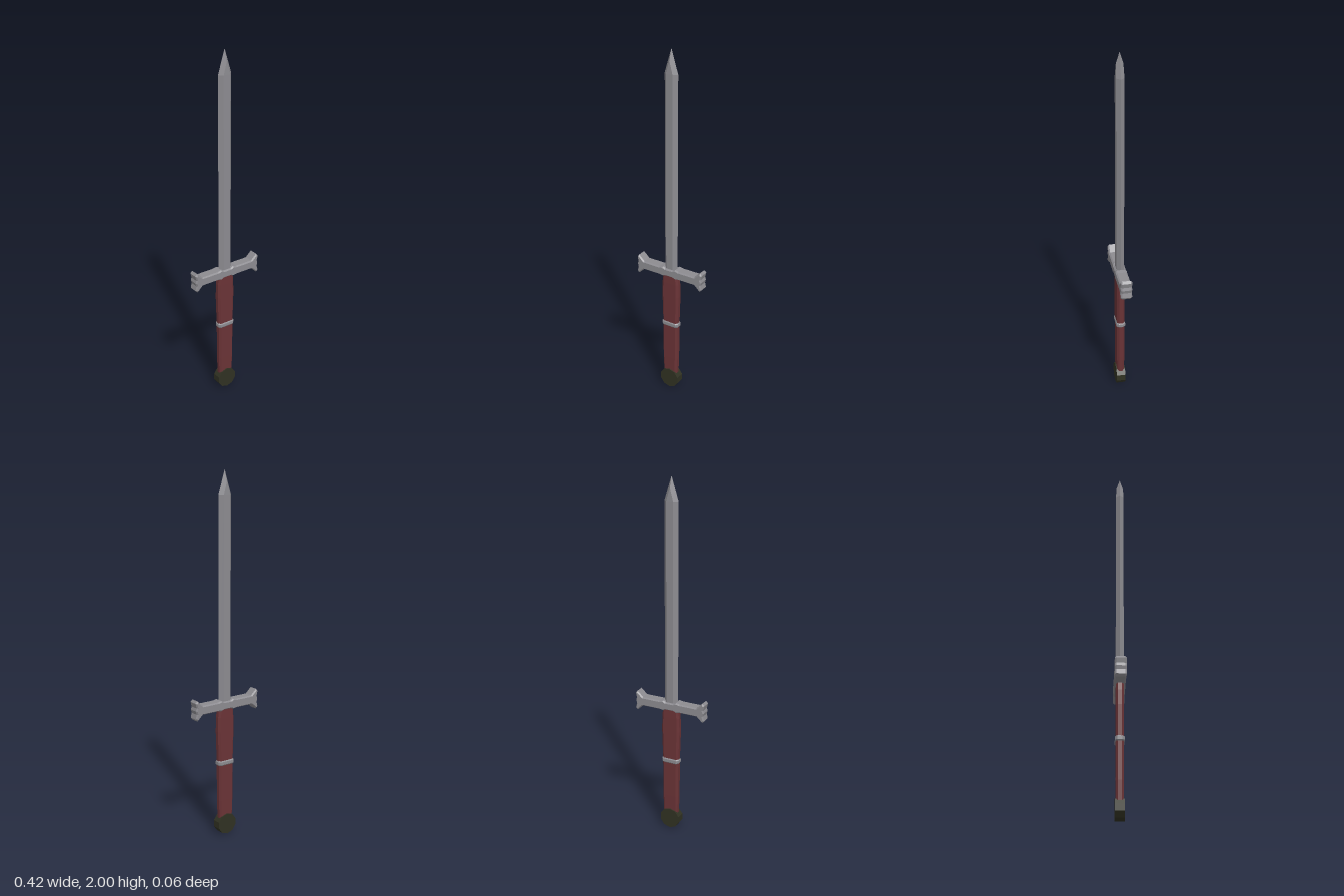
import * as THREE from 'three';

const material = (name, color) => {
  const m = new THREE.MeshStandardMaterial({ color, flatShading: true });
  m.name = name;
  return m;
};

// Loft of eight-sided sections: [y, half width, half width of flat, half depth, half depth of edge]
function loft(sections) {
  const pos = [], idx = [];
  for (const [y, w, f, d, e] of sections) {
    for (const [x, z] of [[w, e], [f, d], [-f, d], [-w, e], [-w, -e], [-f, -d], [f, -d], [w, -e]]) pos.push(x, y, z);
  }
  const last = (sections.length - 1) * 8;
  for (let s = 0; s < last; s += 8) {
    for (let j = 0; j < 8; j++) {
      const a = s + j, b = s + (j + 1) % 8;
      idx.push(b, a, a + 8, b, a + 8, b + 8);
    }
  }
  for (let j = 1; j < 7; j++) {
    idx.push(0, j, j + 1, last, last + j + 1, last + j);
  }
  const g = new THREE.BufferGeometry();
  g.setAttribute('position', new THREE.Float32BufferAttribute(pos, 3));
  g.setIndex(idx);
  const flat = g.toNonIndexed();
  flat.computeVertexNormals();
  return flat;
}

export function createModel() {
  const group = new THREE.Group();
  group.name = 'sword';
  const steel = material('steel', 0x8c8b90);
  const leather = material('red leather', 0x6a3336);
  const bronze = material('dark bronze', 0x303122);

  const add = (name, geometry, mat) => {
    const mesh = new THREE.Mesh(geometry, mat);
    mesh.name = name;
    group.add(mesh);
    return mesh;
  };

  // Blade: flat centre, sharp edges, ridges meeting just below the point
  add('blade', loft([
    [0.74, 0.04, 0.02, 0.021, 0],
    [1.87, 0.04, 0.02, 0.021, 0],
    [1.94, 0.0185, 0, 0.019, 0],
    [2.0, 0, 0, 0, 0],
  ]), steel);

  // Crossguard: half outline from the middle, mirrored, with flared notched ends
  const upper = [[0.025, 0.764], [0.04, 0.771], [0.06, 0.767], [0.165, 0.767], [0.196, 0.796], [0.201, 0.79], [0.195, 0.765], [0.2, 0.749]];
  const lower = upper.slice(0, -1).reverse().map(([x, y]) => [x, 1.496 - y]);
  const right = [...upper, ...lower];
  const left = right.map(([x, y]) => [-x, y]).reverse();
  const outline = new THREE.Shape([...right, ...left].map(([x, y]) => new THREE.Vector2(x, y)));
  const guard = new THREE.ExtrudeGeometry(outline, {
    depth: 0.046, bevelEnabled: true, bevelThickness: 0.008, bevelSize: 0.006, bevelSegments: 1,
  });
  guard.translate(0, 0, -0.023);
  add('crossguard', guard, steel);

  // Grip: chamfered handle swelling below the guard
  add('grip', loft([
    [0.09, 0.042, 0.034, 0.019, 0.009],
    [0.2, 0.046, 0.036, 0.021, 0.01],
    [0.42, 0.047, 0.037, 0.021, 0.01],
    [0.6, 0.053, 0.041, 0.021, 0.01],
    [0.68, 0.051, 0.04, 0.021, 0.01],
    [0.735, 0.045, 0.035, 0.02, 0.01],
  ]), leather);

  // Band around the grip
  add('gripBand', loft([
    [0.404, 0.046, 0.036, 0.02, 0.01],
    [0.411, 0.051, 0.041, 0.025, 0.013],
    [0.427, 0.051, 0.041, 0.025, 0.013],
    [0.434, 0.046, 0.036, 0.02, 0.01],
  ]), steel);

  // Pommel: thick faceted disc
  const disc = new THREE.CylinderGeometry(0.059, 0.059, 0.05, 10);
  disc.rotateX(Math.PI / 2);
  add('pommel', disc, bronze).position.y = 0.059;

  return group;
}
